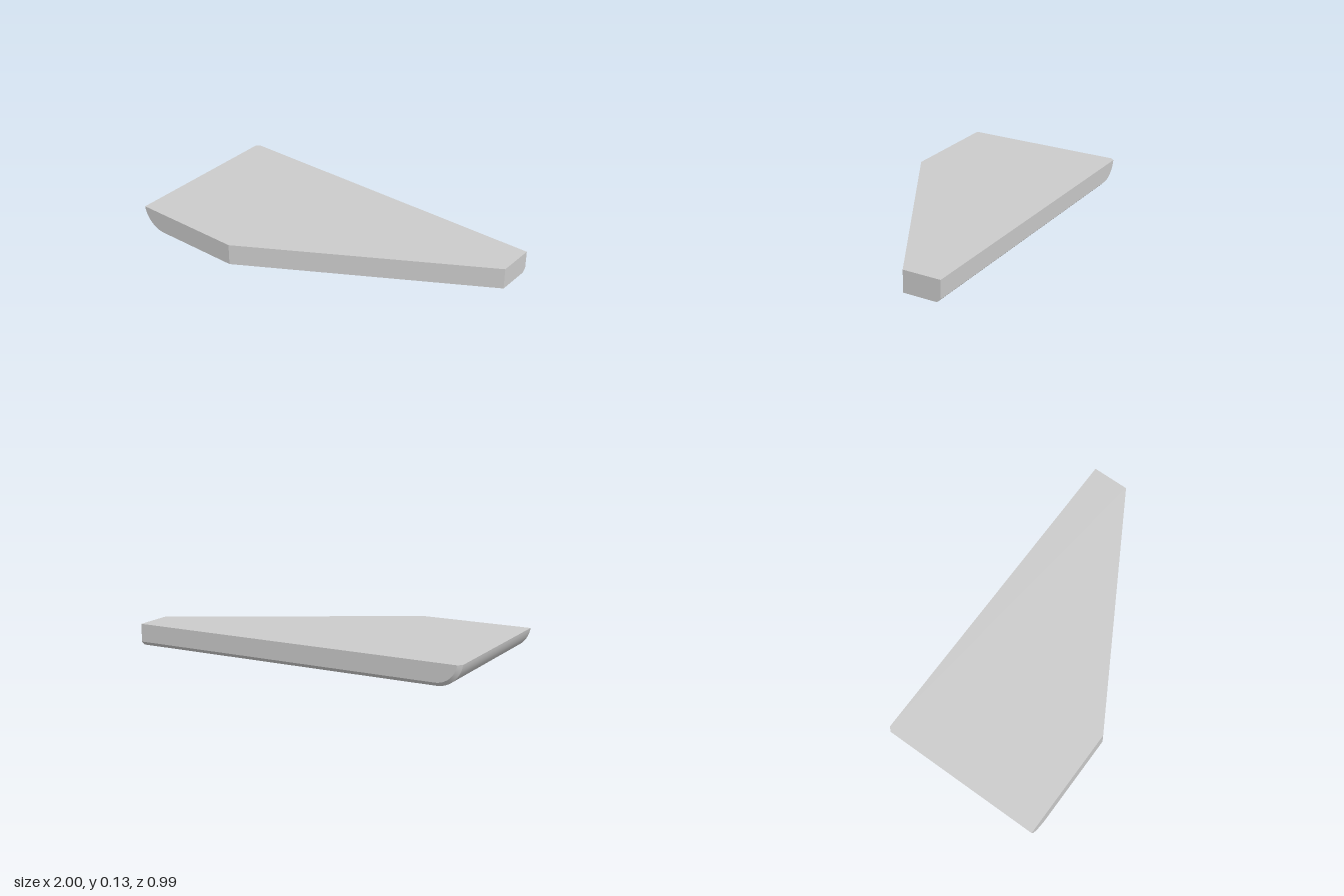
import * as THREE from 'three';
import { ConvexGeometry } from 'three/addons/geometries/ConvexGeometry.js';
import { toCreasedNormals } from 'three/addons/utils/BufferGeometryUtils.js';

const TOP = 0.127;      // slab thickness
const BACK = -0.495;
const FRONT = 0.495;
const RADIUS = 0.145;   // rounded lower edge on the -x side
const BEVEL = 0.022;    // chamfer along the back
const BEND = -0.33;     // x where the front edge turns into the slope
const TIP_Z = -0.272;   // z where the slope meets the +x end

// Side profile in x/y, drawn in from the rounded side and the bottom by inset
function profile(inset) {
  const cx = -1 + RADIUS, cy = RADIUS, r = RADIUS - inset;
  const start = Math.asin((cy - TOP) / r);
  const points = [];
  for (let i = 0; i <= 16; i++) {
    const a = start + (Math.PI / 2 - start) * (i / 16);
    points.push([cx - r * Math.cos(a), cy - r * Math.sin(a)]);
  }
  points.push([BEND, inset], [BEND, TOP], [1, inset], [1, TOP]);
  return points;
}

const frontZ = (x) => (x <= BEND ? FRONT : THREE.MathUtils.mapLinear(x, BEND, 1, FRONT, TIP_Z));

export function createModel() {
  const group = new THREE.Group();
  group.name = 'wedgePlate';

  // The slab is convex: front outline, start of the back chamfer, back face
  const points = [];
  for (const [x, y] of profile(0)) {
    points.push(new THREE.Vector3(x, y, frontZ(x)));
    points.push(new THREE.Vector3(x, y, BACK + BEVEL));
  }
  for (const [x, y] of profile(BEVEL)) points.push(new THREE.Vector3(x, y, BACK));
  // The top edge and the +x end keep their full depth
  points.push(new THREE.Vector3(1, TOP, BACK));

  const geometry = toCreasedNormals(new ConvexGeometry(points), 0.35);
  const plate = new THREE.Mesh(geometry, new THREE.MeshStandardMaterial({ color: 0xcccccc }));
  plate.name = 'plate';
  group.add(plate);
  return group;
}
